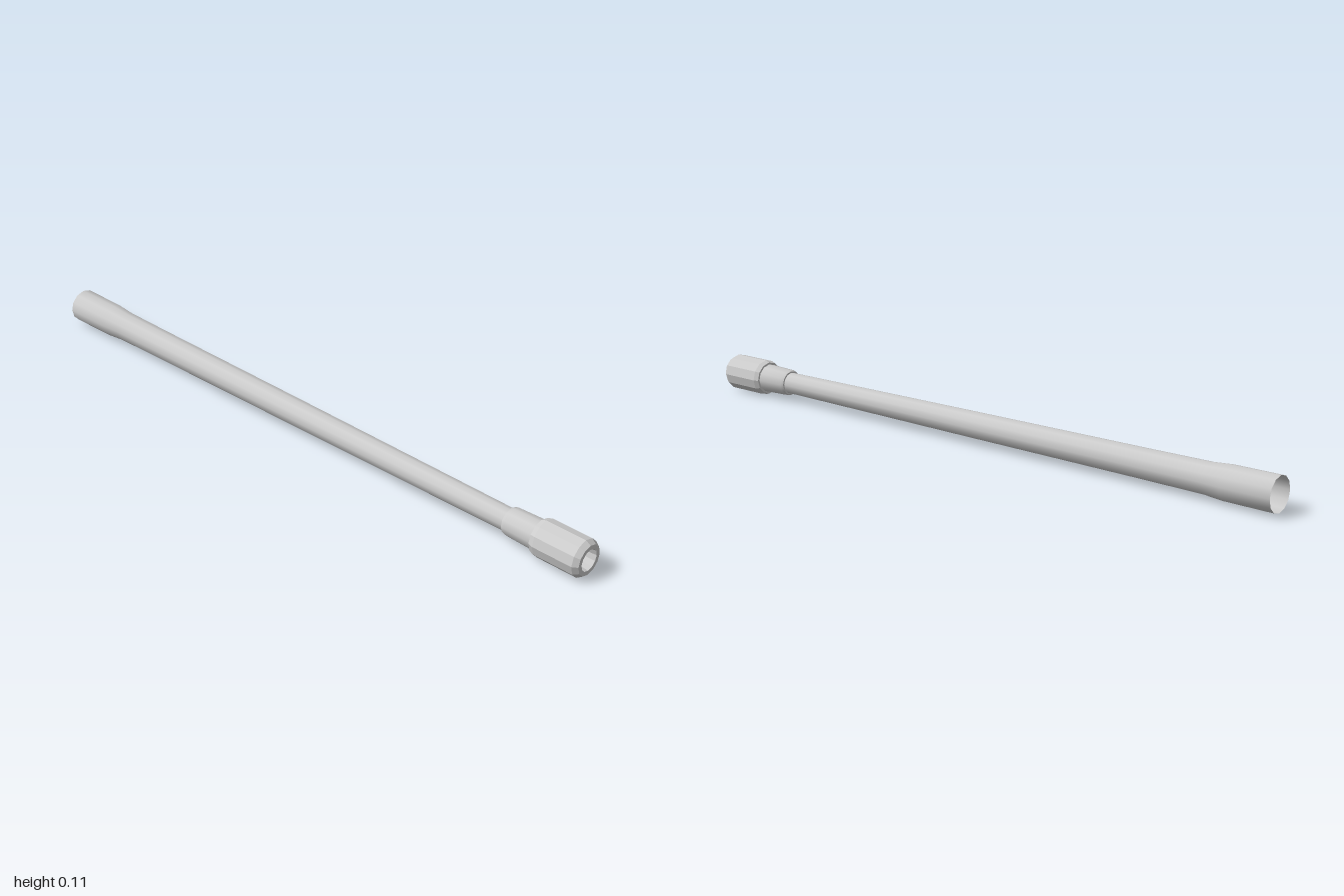
import * as THREE from 'three';
import { toCreasedNormals } from 'three/addons/utils/BufferGeometryUtils.js';

const SIDES = 12;
const AXIS_HEIGHT = 0.055;

// Turned part along z; profile points are [radius, z] from back to front
function turned(name, profile, flatShading = false) {
  const points = profile.map(([r, z]) => new THREE.Vector2(r, z));
  const lathe = new THREE.LatheGeometry(points, SIDES).rotateX(Math.PI / 2);
  const material = new THREE.MeshStandardMaterial({
    color: 0xcccccc, flatShading, side: THREE.DoubleSide,
  });
  const mesh = new THREE.Mesh(toCreasedNormals(lathe, 0.6), material);
  mesh.name = name;
  mesh.position.y = AXIS_HEIGHT;
  return mesh;
}

export function createModel() {
  const group = new THREE.Group();
  group.name = 'barrel';

  // Tapered tube, open and flared at the back
  group.add(turned('tube', [
    [0.051, -1], [0.05, -0.85], [0.045, -0.79], [0.043, -0.6],
    [0.039, 0], [0.033, 0.74], [0.033, 0.76],
  ]));

  // Stepped sleeve behind the muzzle
  group.add(turned('sleeve', [
    [0.032, 0.745], [0.038, 0.745], [0.041, 0.755], [0.044, 0.85], [0.044, 0.86],
  ]));

  // Faceted muzzle with chamfered rims and a blind, tapering bore
  group.add(turned('muzzle', [
    [0.042, 0.845], [0.05, 0.845], [0.055, 0.86], [0.055, 0.985], [0.045, 1],
    [0.032, 1], [0.028, 0.96], [0.0155, 0.87], [0, 0.87],
  ], true));

  return group;
}
